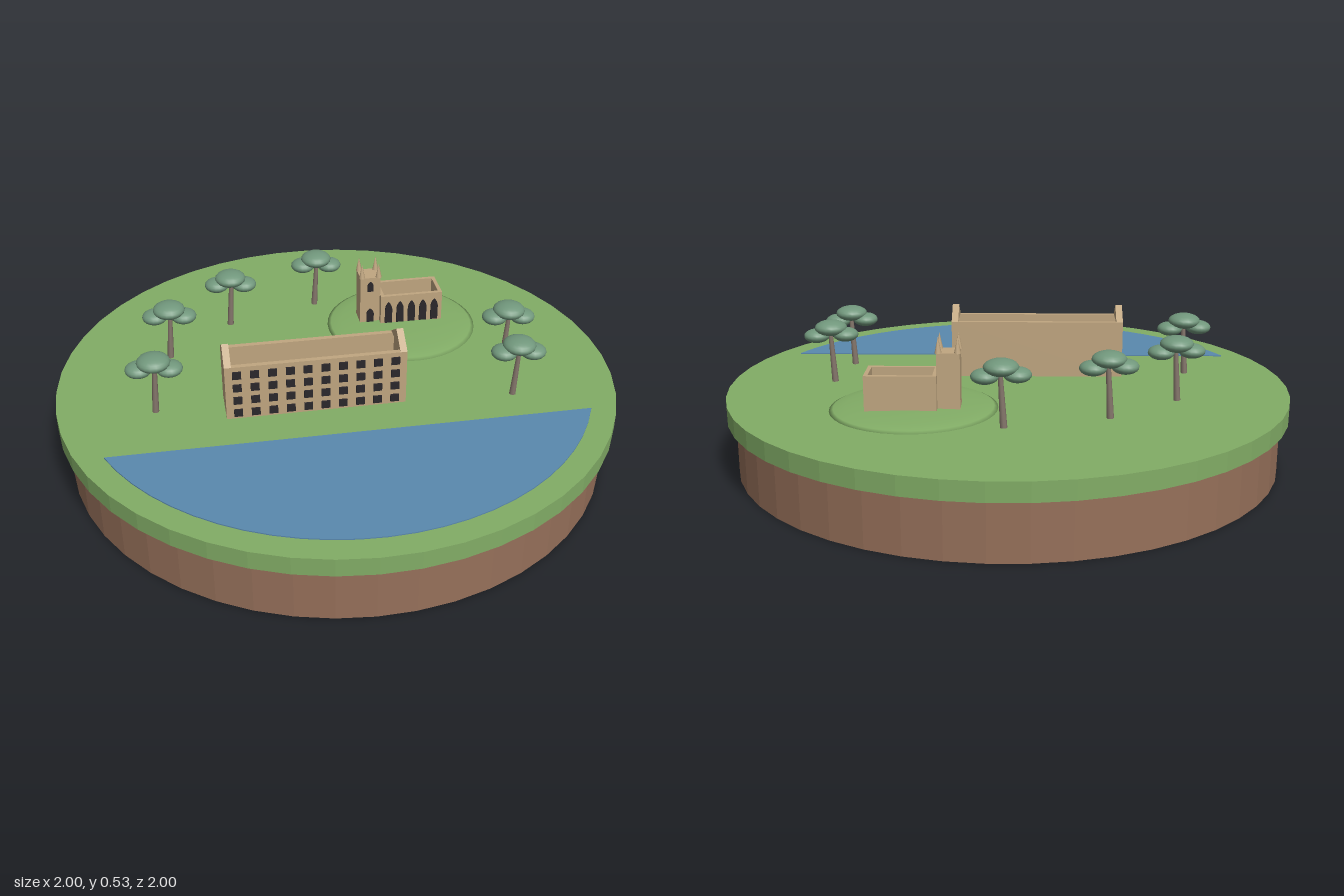
import * as THREE from 'three';

const TILT = -Math.PI / 9; // buildings, shore and trees share one heading
const GROUND = 0.265;

const material = (name, color, extra = {}) => {
  const m = new THREE.MeshStandardMaterial({ color, ...extra });
  m.name = name;
  return m;
};

export function createModel() {
  const grass = material('grass', 0x82ad66);
  const turf = material('turf edge', 0x82ad66, { flatShading: true });
  const soil = material('soil', 0x96705a, { flatShading: true });
  const water = material('water', 0x5a89ae);
  const stone = material('sandstone', 0xc0a680);
  const dark = material('dark opening', 0x2a272b);
  const bark = material('bark', 0x85766b);
  const leaf = material('foliage', 0x71977c);

  const model = new THREE.Group();
  model.name = 'islandWithRuins';
  const add = (parent, name, geo, mat, x = 0, y = 0, z = 0) => {
    const m = new THREE.Mesh(geo, mat);
    m.name = name;
    m.position.set(x, y, z);
    parent.add(m);
    return m;
  };
  const place = (name, x, z) => {
    const g = new THREE.Group();
    g.name = name;
    g.position.set(x, GROUND, z);
    g.rotation.y = TILT;
    model.add(g);
    return g;
  };

  // Round base
  add(model, 'soilDisc', new THREE.CylinderGeometry(0.97, 0.97, 0.2, 48), soil, 0, 0.1, 0);
  add(model, 'grassDisc', new THREE.CylinderGeometry(1, 1, 0.065, 48), turf, 0, 0.2325, 0);

  // Lake: a segment of a circle, cut by a straight shore
  const a0 = THREE.MathUtils.degToRad(44.5), a1 = THREE.MathUtils.degToRad(175.6);
  const shore = [];
  for (let i = 0; i <= 24; i++) {
    const a = a0 + (a1 - a0) * i / 24;
    shore.push(new THREE.Vector2(Math.cos(a) * 0.915, -Math.sin(a) * 0.915));
  }
  const lake = new THREE.ExtrudeGeometry(new THREE.Shape(shore), { depth: 0.004, bevelEnabled: false });
  add(model, 'lake', lake.rotateX(-Math.PI / 2), water, 0, GROUND, 0);

  // Low mound under the chapel
  const mound = add(model, 'mound',
    new THREE.SphereGeometry(1, 40, 5, 0, Math.PI * 2, 0, Math.PI / 2), grass, 0.4, GROUND, -0.19);
  mound.scale.set(0.285, 0.022, 0.285);

  // Four walls without a roof
  const rect = (Type, w, d) => {
    const p = new Type();
    p.moveTo(-w / 2, -d / 2).lineTo(w / 2, -d / 2).lineTo(w / 2, d / 2).lineTo(-w / 2, d / 2).closePath();
    return p;
  };
  const shell = (w, d, h, t) => {
    const s = rect(THREE.Shape, w, d);
    s.holes.push(rect(THREE.Path, w - 2 * t, d - 2 * t));
    return new THREE.ExtrudeGeometry(s, { depth: h, bevelEnabled: false }).rotateX(-Math.PI / 2);
  };

  // Long house
  const house = place('house', -0.15, 0.105);
  const L = 0.626, D = 0.15, H = 0.205;
  add(house, 'houseWalls', shell(L, D, H, 0.018), stone);
  add(house, 'houseFloor', new THREE.BoxGeometry(L - 0.03, 0.01, D - 0.03), stone, 0, 0.005, 0);
  const tri = new THREE.Shape();
  tri.moveTo(-D / 2, 0).lineTo(D / 2, 0).lineTo(0, 0.05).closePath();
  const gable = new THREE.ExtrudeGeometry(tri, { depth: 0.024, bevelEnabled: false })
    .translate(0, 0, -0.012).rotateY(Math.PI / 2);
  for (const s of [-1, 1]) add(house, 'gable', gable, stone, s * (L / 2 - 0.012), H, 0);
  const pane = new THREE.BoxGeometry(0.03, 0.028, 0.008);
  for (let r = 0; r < 4; r++)
    for (let c = 0; c < 10; c++)
      add(house, 'houseWindow', pane, dark, (c - 4.5) * 0.0605, 0.024 + r * 0.05, D / 2 + 0.002);

  // Pointed arch plate
  const arch = (w, h) => {
    const s = new THREE.Shape();
    s.moveTo(-w / 2, 0).lineTo(w / 2, 0).lineTo(w / 2, h * 0.62);
    s.quadraticCurveTo(w / 2, h * 0.85, 0, h);
    s.quadraticCurveTo(-w / 2, h * 0.85, -w / 2, h * 0.62);
    return new THREE.ExtrudeGeometry(s, { depth: 0.006, bevelEnabled: false, curveSegments: 5 });
  };

  // Chapel nave
  const chapel = place('chapel', 0.445, -0.213);
  add(chapel, 'naveWalls', shell(0.24, 0.13, 0.137, 0.014), stone);
  add(chapel, 'naveFloor', new THREE.BoxGeometry(0.22, 0.025, 0.11), stone, 0, 0.0125, 0);
  const lancet = arch(0.028, 0.088);
  for (let i = 0; i < 5; i++)
    add(chapel, 'naveWindow', lancet, dark, (i - 2) * 0.045, 0.024, 0.064);

  // Chapel tower with corner pinnacles
  const tower = new THREE.Group();
  tower.name = 'tower';
  tower.position.set(-0.157, 0, 0);
  chapel.add(tower);
  add(tower, 'towerBody', new THREE.BoxGeometry(0.078, 0.208, 0.078), stone, 0, 0.104, 0);
  add(tower, 'towerDoor', arch(0.028, 0.056), dark, 0, 0.02, 0.038);
  add(tower, 'towerWindow', arch(0.022, 0.04), dark, 0, 0.152, 0.038);
  for (const sx of [-1, 1])
    for (const sz of [-1, 1])
      add(tower, 'pinnacle', new THREE.ConeGeometry(0.012, 0.056, 8), stone, sx * 0.032, 0.235, sz * 0.032);

  // Trees: leaning trunk and three flattened crowns
  const ball = new THREE.SphereGeometry(1, 18, 12);
  const trunk = new THREE.CylinderGeometry(0.008, 0.012, 0.17, 8);
  const crowns = [[0, 0.2, 0, 0.058, 0.028], [-0.052, 0.176, 0, 0.046, 0.025], [0.052, 0.17, 0, 0.046, 0.025]];
  const spots = [[-0.655, -0.095], [-0.47, -0.4], [-0.172, -0.51], [0.19, -0.49], [0.6, 0.215], [0.482, 0.43]];
  for (const [x, z] of spots) {
    const tree = place('tree', x, z);
    add(tree, 'trunk', trunk, bark, -0.003, 0.085, 0).rotation.z = -0.06;
    for (const [cx, cy, cz, r, ry] of crowns)
      add(tree, 'crown', ball, leaf, cx, cy, cz).scale.set(r, ry, r);
  }
  return model;
}
